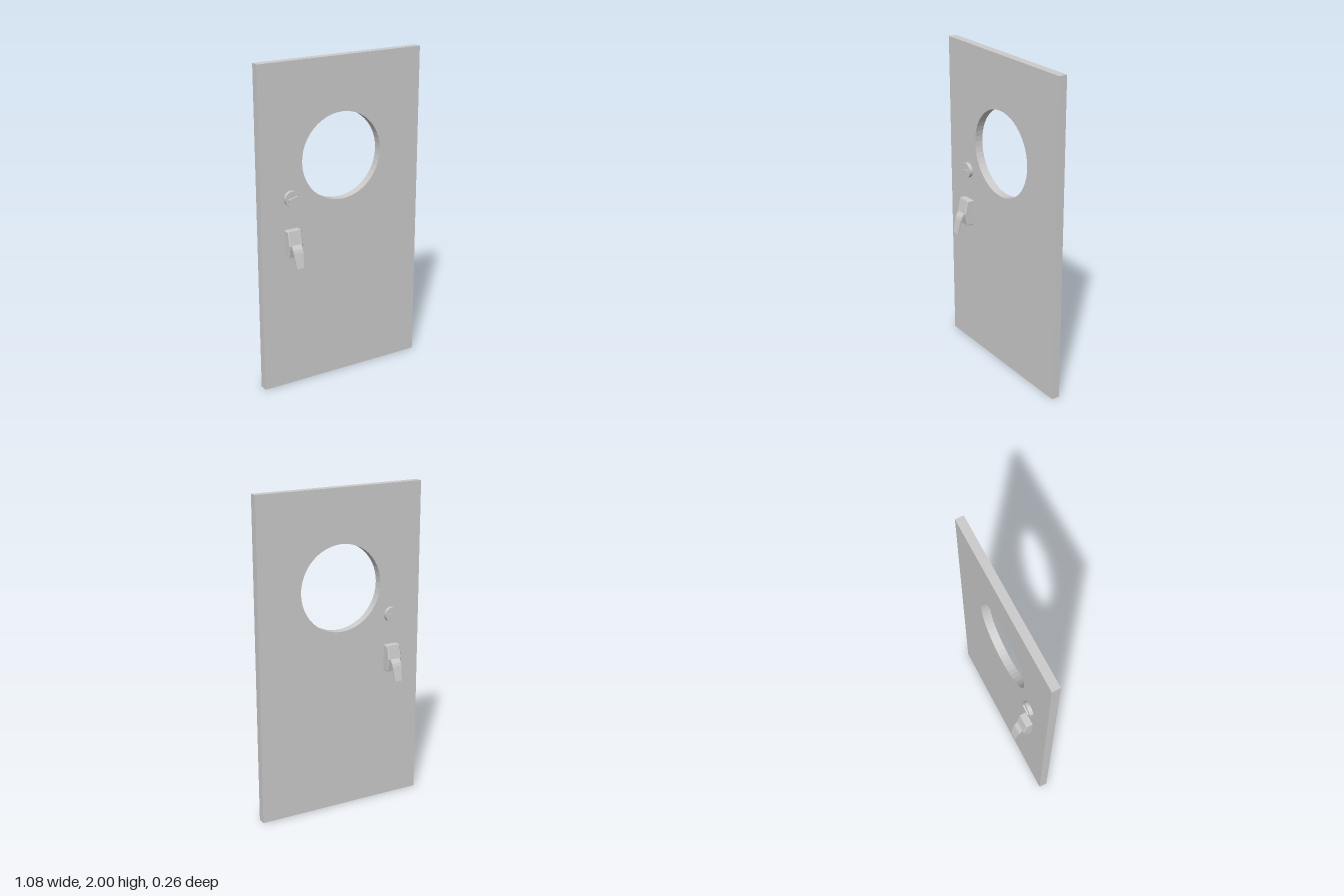
import * as THREE from 'three';

const material = new THREE.MeshStandardMaterial({ color: 0xcccccc, flatShading: true });
const smooth = new THREE.MeshStandardMaterial({ color: 0xcccccc });
const FITTING_X = -0.344;

function addMesh(parent, name, geometry, mat = material) {
  const mesh = new THREE.Mesh(geometry, mat);
  mesh.name = name;
  parent.add(mesh);
  return mesh;
}

// Extrude a [z, y] side profile across x, centred on x = 0
function sideExtrude(points, width, bevel = 0) {
  const shape = new THREE.Shape(points.map(([z, y]) => new THREE.Vector2(z, y)));
  const depth = width - 2 * bevel;
  const geometry = new THREE.ExtrudeGeometry(shape, {
    depth, bevelEnabled: bevel > 0, bevelThickness: bevel, bevelSize: bevel,
    bevelOffset: -bevel, bevelSegments: 1,
  });
  return geometry.translate(0, 0, -depth / 2).rotateY(-Math.PI / 2);
}

// One handle facing +z: faceted housing with a bent, tapering lever
function createHandle() {
  const handle = new THREE.Group();
  addMesh(handle, 'handleHousing', sideExtrude(
    [[0, 0.845], [0.068, 0.845], [0.086, 0.925], [0.068, 1.01], [0, 1.01]], 0.09, 0.005));

  const lever = sideExtrude([
    [0.076, 0.932], [0.084, 0.93], [0.104, 0.903], [0.111, 0.885], [0.131, 0.795],
    [0.123, 0.793], [0.103, 0.88], [0.097, 0.897], [0.078, 0.918],
  ], 0.064);
  const p = lever.attributes.position;
  for (let i = 0; i < p.count; i++) {
    const t = THREE.MathUtils.clamp((0.9 - p.getY(i)) / 0.105, 0, 1);
    p.setX(i, p.getX(i) * (1 - 0.26 * t));
  }
  lever.computeVertexNormals();
  addMesh(handle, 'handleLever', lever);
  return handle;
}

export function createModel() {
  const model = new THREE.Group();
  model.name = 'door';

  // Door slab with a round window opening
  const slab = new THREE.Shape();
  slab.moveTo(-0.542, 0).lineTo(0.542, 0).lineTo(0.542, 2).lineTo(-0.542, 2).closePath();
  const opening = new THREE.Path();
  opening.absarc(0, 1.403, 0.267, 0, Math.PI * 2, true);
  slab.holes.push(opening);
  addMesh(model, 'doorPanel', new THREE.ExtrudeGeometry(slab, {
    depth: 0.052, bevelEnabled: false, curveSegments: 24,
  }).translate(0, 0, -0.026), smooth);

  // Lock rosette and turn piece, passing through to both faces
  const lock = new THREE.Group();
  lock.name = 'lock';
  lock.position.set(FITTING_X, 1.2, 0);
  addMesh(lock, 'lockRosette',
    new THREE.CylinderGeometry(0.047, 0.047, 0.097, 32).rotateX(Math.PI / 2), smooth);
  const turn = addMesh(lock, 'lockTurn', new THREE.BoxGeometry(0.062, 0.016, 0.115));
  turn.rotation.z = 0.25;
  model.add(lock);

  // Matching handles on the front and back
  for (const [name, angle] of [['frontHandle', 0], ['backHandle', Math.PI]]) {
    const handle = createHandle();
    handle.name = name;
    handle.position.x = FITTING_X;
    handle.rotation.y = angle;
    model.add(handle);
  }
  return model;
}
